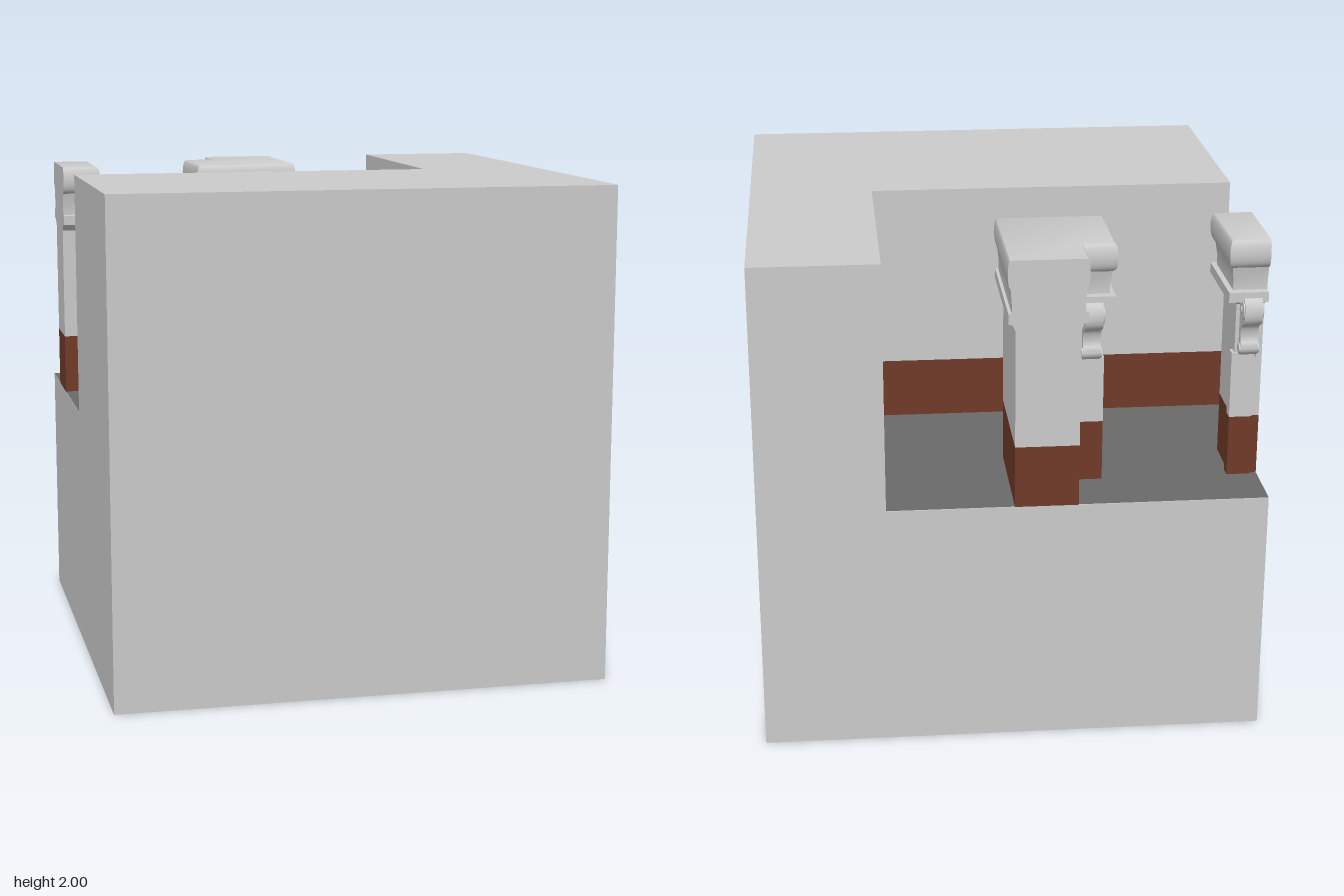
import * as THREE from 'three';
import { toCreasedNormals, mergeGeometries } from 'three/addons/utils/BufferGeometryUtils.js';

const grey = new THREE.MeshStandardMaterial({ color: 0xcccccc });
const brown = new THREE.MeshStandardMaterial({ color: 0x703a28 });
const dark = new THREE.MeshStandardMaterial({ color: 0x6a6a6a });

function add(parent, name, geometry, material, x = 0, y = 0, z = 0) {
  const mesh = new THREE.Mesh(geometry, material);
  mesh.name = name;
  mesh.position.set(x, y, z);
  parent.add(mesh);
  return mesh;
}

// Box between two corners
function box(x0, x1, y0, y1, z0, z1) {
  return new THREE.BoxGeometry(x1 - x0, y1 - y0, z1 - z0)
    .translate((x0 + x1) / 2, (y0 + y1) / 2, (z0 + z1) / 2);
}

// Stacks a plan outline [x, z, overhangX, overhangZ] through levels [y, overhang fraction]
function loft(plan, levels) {
  const pos = [];
  const at = (p, [y, f]) => [p[0] + p[2] * f, y, p[1] + p[3] * f];
  for (let l = 0; l < levels.length - 1; l++) {
    plan.forEach((p, i) => {
      const q = plan[(i + 1) % plan.length];
      const a0 = at(p, levels[l]), a1 = at(p, levels[l + 1]);
      const b0 = at(q, levels[l]), b1 = at(q, levels[l + 1]);
      pos.push(...a0, ...a1, ...b0, ...a1, ...b1, ...b0);
    });
  }
  const sides = new THREE.BufferGeometry();
  sides.setAttribute('position', new THREE.Float32BufferAttribute(pos, 3));
  sides.computeVertexNormals();
  // Flat top
  const top = levels[levels.length - 1];
  const shape = new THREE.Shape(plan.map(p => {
    const [x, , z] = at(p, top);
    return new THREE.Vector2(x, -z);
  }));
  const cap = new THREE.ShapeGeometry(shape).rotateX(-Math.PI / 2).translate(0, top[0], 0).toNonIndexed();
  cap.deleteAttribute('uv');
  return toCreasedNormals(mergeGeometries([sides, cap]), 0.6);
}

// Cornice profile: lower ledge, frieze, then a rounded crown
const cornice = [[1.72, 0], [1.745, 0.35], [1.75, 0.9], [1.79, 0.9], [1.792, 0.5], [1.83, 0.5], [1.885, 0.65]];
for (let i = 0; i <= 10; i++) {
  const t = -Math.PI / 2 + Math.PI * i / 10;
  cornice.push([1.945 + 0.055 * Math.sin(t), 0.72 + 0.28 * Math.cos(t)]);
}

function wallPiece(name, plan) {
  const g = new THREE.Group();
  g.name = name;
  add(g, 'wainscot', loft(plan, [[1, 0], [1.25, 0]]), brown);
  add(g, 'wall', loft(plan, [[1.25, 0], [1.72, 0]]), grey);
  add(g, 'cornice', loft(plan, cornice), grey);
  return g;
}

// Scrolled bracket, its profile drawn in depth and height
function bracket() {
  const g = new THREE.Group();
  g.name = 'bracket';
  const s = new THREE.Shape();
  s.moveTo(0, 1.77);
  s.lineTo(0.06, 1.77);
  s.bezierCurveTo(0.11, 1.765, 0.11, 1.66, 0.065, 1.655);
  s.bezierCurveTo(0.03, 1.65, 0.025, 1.6, 0.03, 1.58);
  s.bezierCurveTo(0.05, 1.56, 0.045, 1.52, 0.015, 1.52);
  s.lineTo(0, 1.5);
  const body = new THREE.ExtrudeGeometry(s, { depth: 0.07, bevelEnabled: false, curveSegments: 10 });
  body.translate(0, 0, -0.035).rotateY(Math.PI / 2);
  add(g, 'scroll', toCreasedNormals(body, 0.6), grey);
  // Volute discs showing on both sides
  for (const [r, w, y, z] of [[0.04, 0.08, 1.715, -0.055], [0.015, 0.09, 1.715, -0.055], [0.02, 0.08, 1.545, -0.02]]) {
    add(g, 'volute', new THREE.CylinderGeometry(r, r, w, 20).rotateZ(Math.PI / 2), grey, 0, y, z);
  }
  return g;
}

export function createModel() {
  const model = new THREE.Group();
  model.name = 'cutawayRoom';

  // Solid block with one corner cut out
  add(model, 'lowerBlock', box(-1, 1, 0, 1, -1, 1), grey);
  const upper = new THREE.Shape([[-1, 0], [0.5, 0], [0.5, 1], [1, 1], [1, -1], [-1, -1]]
    .map(([x, y]) => new THREE.Vector2(x, y)));
  add(model, 'upperBlock', new THREE.ExtrudeGeometry(upper, { depth: 1, bevelEnabled: false })
    .rotateX(-Math.PI / 2), grey, 0, 1, 0);

  // Floor and wainscot lining of the room
  add(model, 'floor', new THREE.PlaneGeometry(1.5, 1).rotateX(-Math.PI / 2), dark, -0.25, 1.002, -0.5);
  add(model, 'frontWainscot', new THREE.PlaneGeometry(1.5, 0.25).rotateY(Math.PI), brown, -0.25, 1.125, -0.002);
  add(model, 'sideWainscot', new THREE.PlaneGeometry(1, 0.25).rotateY(-Math.PI / 2), brown, 0.498, 1.125, -0.5);

  // Free-standing wall pieces on either side of the doorway
  model.add(wallPiece('cornerWall', [
    [-0.25, -1, -0.03, 0], [0, -1, 0.03, 0], [0, -0.5, 0.03, 0.08],
    [-0.36, -0.5, -0.05, 0.08], [-0.36, -0.75, -0.05, -0.08], [-0.25, -0.75, -0.03, -0.08]
  ]));
  model.add(wallPiece('endWall', [
    [-1, -0.75, 0, -0.08], [-0.89, -0.75, 0.05, -0.08], [-0.89, -0.5, 0.05, 0.08], [-1, -0.5, 0, 0.08]
  ]));

  // Brackets and jamb strips, mirrored about the doorway centre
  for (const side of [-1, 1]) {
    const trim = new THREE.Group();
    trim.name = side < 0 ? 'rightDoorTrim' : 'leftDoorTrim';
    const b = bracket();
    b.position.set(-0.63 + side * 0.31, 0, -0.75);
    trim.add(b);
    const inner = -0.625 + side * 0.253, outer = -0.625 + side * 0.345;
    const x0 = Math.min(inner, outer), x1 = Math.max(inner, outer);
    add(trim, 'jambBase', box(x0, x1, 1, 1.25, -0.76, -0.71), brown);
    add(trim, 'jambStrip', box(x0, x1, 1.25, 1.52, -0.76, -0.71), grey);
    model.add(trim);
  }
  return model;
}
